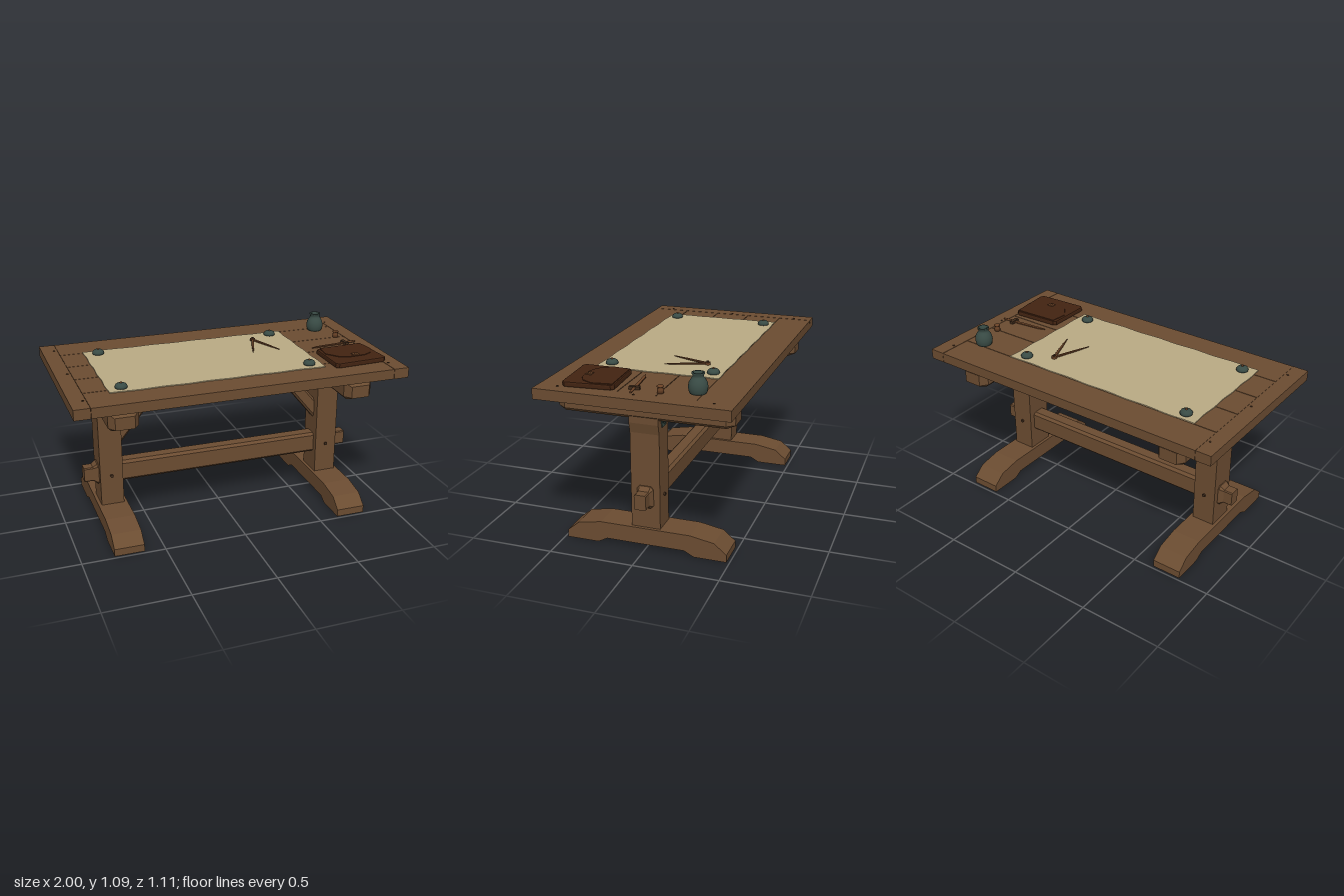
import * as THREE from 'three';

const mat = (name, color) => {
  const m = new THREE.MeshStandardMaterial({ color });
  m.name = name;
  return m;
};

// Chamfered bar along z; sections are [z, halfWidth, halfHeight, chamfer, centreY]
function bar(sections) {
  const pos = [];
  const rings = sections.map(([z, w, h, c, y = 0]) => [
    [-w + c, -h], [w - c, -h], [w, -h + c], [w, h - c],
    [w - c, h], [-w + c, h], [-w, h - c], [-w, -h + c],
  ].map(([px, py]) => [px, py + y, z]));
  for (let i = 0; i < rings.length - 1; i++) {
    for (let j = 0; j < 8; j++) {
      const k = (j + 1) % 8;
      const a = rings[i][j], b = rings[i][k], c = rings[i + 1][k], d = rings[i + 1][j];
      pos.push(...a, ...b, ...c, ...a, ...c, ...d);
    }
  }
  const first = rings[0], last = rings[rings.length - 1];
  for (let j = 1; j < 7; j++) {
    pos.push(...last[0], ...last[j], ...last[j + 1]);
    pos.push(...first[0], ...first[j + 1], ...first[j]);
  }
  const g = new THREE.BufferGeometry();
  g.setAttribute('position', new THREE.Float32BufferAttribute(pos, 3));
  g.computeVertexNormals();
  return g;
}

// Outline in x,y extruded evenly about z = 0
function slab(points, depth) {
  const shape = new THREE.Shape(points.map(([x, y]) => new THREE.Vector2(x, y)));
  return new THREE.ExtrudeGeometry(shape, { depth, bevelEnabled: false }).translate(0, 0, -depth / 2);
}

// Outline in x,z laid flat with its underside at y = 0
function flat(points, height, bevel = 0) {
  const shape = new THREE.Shape(points.map(([x, z]) => new THREE.Vector2(x, -z)));
  return new THREE.ExtrudeGeometry(shape, {
    depth: height - 2 * bevel, bevelEnabled: bevel > 0,
    bevelSize: bevel, bevelOffset: -bevel, bevelThickness: bevel, bevelSegments: 2,
  }).translate(0, 0, bevel).rotateX(-Math.PI / 2);
}

const lathe = (points, sides = 20) =>
  new THREE.LatheGeometry(points.map(([r, y]) => new THREE.Vector2(r, y)), sides);

export function createModel() {
  const wood = mat('oak wood', 0x6b4c31);
  const pegWood = mat('dark peg wood', 0x3f2b1b);
  const leather = mat('dark leather', 0x422311);
  const iron = mat('grey green iron', 0x394b45);
  const paper = mat('parchment', 0xb9aa84);
  const bronze = mat('brown bronze', 0x6a4226);
  iron.side = THREE.DoubleSide;

  const model = new THREE.Group();
  model.name = 'trestleTable';
  const add = (name, geometry, material, x = 0, y = 0, z = 0, parent = model) => {
    const mesh = new THREE.Mesh(geometry, material);
    mesh.name = name;
    mesh.position.set(x, y, z);
    parent.add(mesh);
    return mesh;
  };
  const top = 0.97;

  // Table top: five planks between two end boards
  const seams = [-0.555, -0.34, -0.115, 0.105, 0.33, 0.555];
  for (let i = 0; i < 5; i++) {
    const width = seams[i + 1] - seams[i] - (i < 4 ? 0.004 : 0);
    add('plank', new THREE.BoxGeometry(1.808, 0.06, width), wood, 0, 0.94, seams[i] + width / 2);
  }
  for (const s of [-1, 1]) {
    add('endBoard', new THREE.BoxGeometry(0.094, 0.062, 1.11), wood, s * 0.953, 0.94, 0);
    for (const z of [-0.44, 0, 0.44])
      add('topPeg', new THREE.CylinderGeometry(0.007, 0.007, 0.006, 8), pegWood, s * 0.925, top + 0.001, z);
  }

  // Trestle ends
  const legHalf = [[0.07, 0.12], [0.07, 0.7], [0.084, 0.76], [0.084, 0.8]];
  const legOutline = [...legHalf, ...legHalf.map(([x, y]) => [-x, y]).reverse()];
  const footHalf = [[0.235, 0.03], [0.29, 0], [0.482, 0], [0.482, 0.045], [0.41, 0.105], [0.27, 0.13]];
  const footOutline = [...footHalf, ...footHalf.map(([z, y]) => [-z, y]).reverse()];
  for (const s of [-1, 1]) {
    const trestle = new THREE.Group();
    trestle.name = s > 0 ? 'leftTrestle' : 'rightTrestle';
    trestle.position.x = s * 0.713;
    model.add(trestle);
    const part = (n, g, m, x, y, z) => add(n, g, m, x, y, z, trestle);
    part('leg', slab(legOutline, 0.172), wood);
    part('foot', slab(footOutline, 0.18).rotateY(Math.PI / 2), wood);
    part('bearer', bar([
      [-0.512, 0.056, 0.037, 0.004, -0.01], [-0.467, 0.088, 0.0625, 0.018],
      [0.467, 0.088, 0.0625, 0.018], [0.512, 0.056, 0.037, 0.004, -0.01],
    ]), wood, 0, 0.8475, 0);
    part('tenonPeg', new THREE.CylinderGeometry(0.01, 0.01, 0.19, 10).rotateX(Math.PI / 2), pegWood, 0, 0.32, 0);

    // Iron plates with bolts on both faces of the leg
    for (const f of [-1, 1]) {
      part('ironPlate', slab([[-0.03, 0.732], [0.03, 0.732], [0.042, 0.783], [-0.042, 0.783]], 0.006), iron, 0, 0, f * 0.088);
      for (const [x, y] of [[-0.023, 0.766], [0.023, 0.766], [0, 0.748]])
        part('bolt', new THREE.CylinderGeometry(0.006, 0.006, 0.008, 8).rotateX(Math.PI / 2), iron, x, y, f * 0.093);
    }

    // Diagonal brace from leg to table top
    const low = new THREE.Vector3(s * 0.685, 0.51, 0), high = new THREE.Vector3(s * 0.37, 0.889, 0);
    const half = low.distanceTo(high) / 2;
    const brace = add('brace', bar([[-half, 0.038, 0.041, 0.013], [half, 0.038, 0.041, 0.013]]), wood);
    brace.position.addVectors(low, high).multiplyScalar(0.5);
    brace.lookAt(high);
  }

  // Stretcher with tapered through tenons
  add('stretcher', bar([
    [-0.87, 0.035, 0.045, 0.006], [-0.815, 0.035, 0.045, 0.006], [-0.79, 0.049, 0.066, 0.016],
    [0.79, 0.049, 0.066, 0.016], [0.815, 0.035, 0.045, 0.006], [0.87, 0.035, 0.045, 0.006],
  ]).rotateY(Math.PI / 2), wood, 0, 0.321, 0);

  // Parchment with uneven edges
  const sheet = new THREE.BoxGeometry(1.304, 0.005, 0.73, 40, 1, 24);
  const p = sheet.attributes.position;
  for (let i = 0; i < p.count; i++) {
    const x = p.getX(i), z = p.getZ(i);
    p.setX(i, x * (1 + 0.004 * Math.sin(z * 31)));
    p.setZ(i, z * (1 + 0.008 * Math.sin(x * 23)));
  }
  sheet.computeVertexNormals();
  add('parchment', sheet, paper, -0.113, top + 0.004, 0.02);

  // Domed paper weights
  for (const [x, z] of [[-0.68, -0.285], [0.455, -0.29], [0.462, 0.32], [-0.685, 0.325]]) {
    add('weight', lathe([[0, 0], [0.035, 0], [0.036, 0.012], [0.03, 0.022], [0.018, 0.029], [0, 0.031]]), iron, x, top + 0.005, z);
    add('weightKnob', new THREE.SphereGeometry(0.008, 10, 6), bronze, x, top + 0.034, z);
  }

  // Drawing compass
  const compass = new THREE.Group();
  compass.name = 'compass';
  compass.position.set(0.308, top + 0.013, -0.21);
  model.add(compass);
  for (const s of [-1, 1]) {
    const leg = add('compassLeg', bar([[0, 0.009, 0.005, 0.002], [0.15, 0.007, 0.004, 0.002], [0.248, 0.002, 0.002, 0.0005]]), bronze, 0, 0, 0, compass);
    leg.rotation.y = s * 0.355;
  }
  add('compassHinge', new THREE.CylinderGeometry(0.016, 0.016, 0.016, 14), bronze, 0, 0, 0, compass);
  add('compassPin', new THREE.CylinderGeometry(0.007, 0.007, 0.01, 10), pegWood, 0, 0.011, 0, compass);

  // Jar, open at the top
  add('jar', lathe([
    [0, 0], [0.044, 0], [0.05, 0.012], [0.054, 0.035], [0.05, 0.06], [0.039, 0.08], [0.031, 0.09],
    [0.03, 0.1], [0.035, 0.108], [0.035, 0.115], [0.026, 0.115], [0.024, 0.09], [0.03, 0.06], [0, 0.05],
  ], 24), iron, 0.788, top, -0.31);

  // Hand stamp
  add('stamp', lathe([
    [0, 0], [0.018, 0], [0.018, 0.022], [0.011, 0.028], [0.019, 0.034], [0.019, 0.04], [0.01, 0.045], [0, 0.046],
  ], 16), bronze, 0.85, top, -0.122);

  // Small knife: blade, guard and grip
  const knife = new THREE.Group();
  knife.name = 'knife';
  knife.position.set(0.84, top + 0.01, 0.028);
  knife.rotation.y = 0.09;
  model.add(knife);
  add('blade', flat([[-0.24, 0.006], [-0.2, -0.006], [0, -0.01], [0, 0.01], [-0.2, 0.01]], 0.006), bronze, 0, -0.005, 0, knife);
  add('guard', new THREE.BoxGeometry(0.022, 0.018, 0.06), pegWood, 0, 0, 0, knife);
  add('grip', new THREE.CylinderGeometry(0.008, 0.006, 0.075, 10).rotateZ(Math.PI / 2), bronze, 0.04, 0, 0, knife);

  // Leather case with flap and clasp
  const caseOutline = [[0.605, 0.14], [0.885, 0.124], [0.904, 0.14], [0.924, 0.4], [0.908, 0.418], [0.605, 0.436], [0.587, 0.42], [0.588, 0.155]];
  add('leatherCase', flat(caseOutline, 0.031, 0.008), leather, 0, top, 0);
  add('caseFlap', flat([[0.61, 0.148], [0.89, 0.134], [0.906, 0.25], [0.87, 0.315], [0.82, 0.342], [0.71, 0.347], [0.655, 0.325], [0.6, 0.255]], 0.005, 0.0015), leather, 0, top + 0.03, 0);
  add('clasp', new THREE.BoxGeometry(0.04, 0.006, 0.034), bronze, 0.765, top + 0.037, 0.322);
  add('claspStud', new THREE.SphereGeometry(0.008, 10, 6), bronze, 0.765, top + 0.039, 0.322);

  return model;
}
